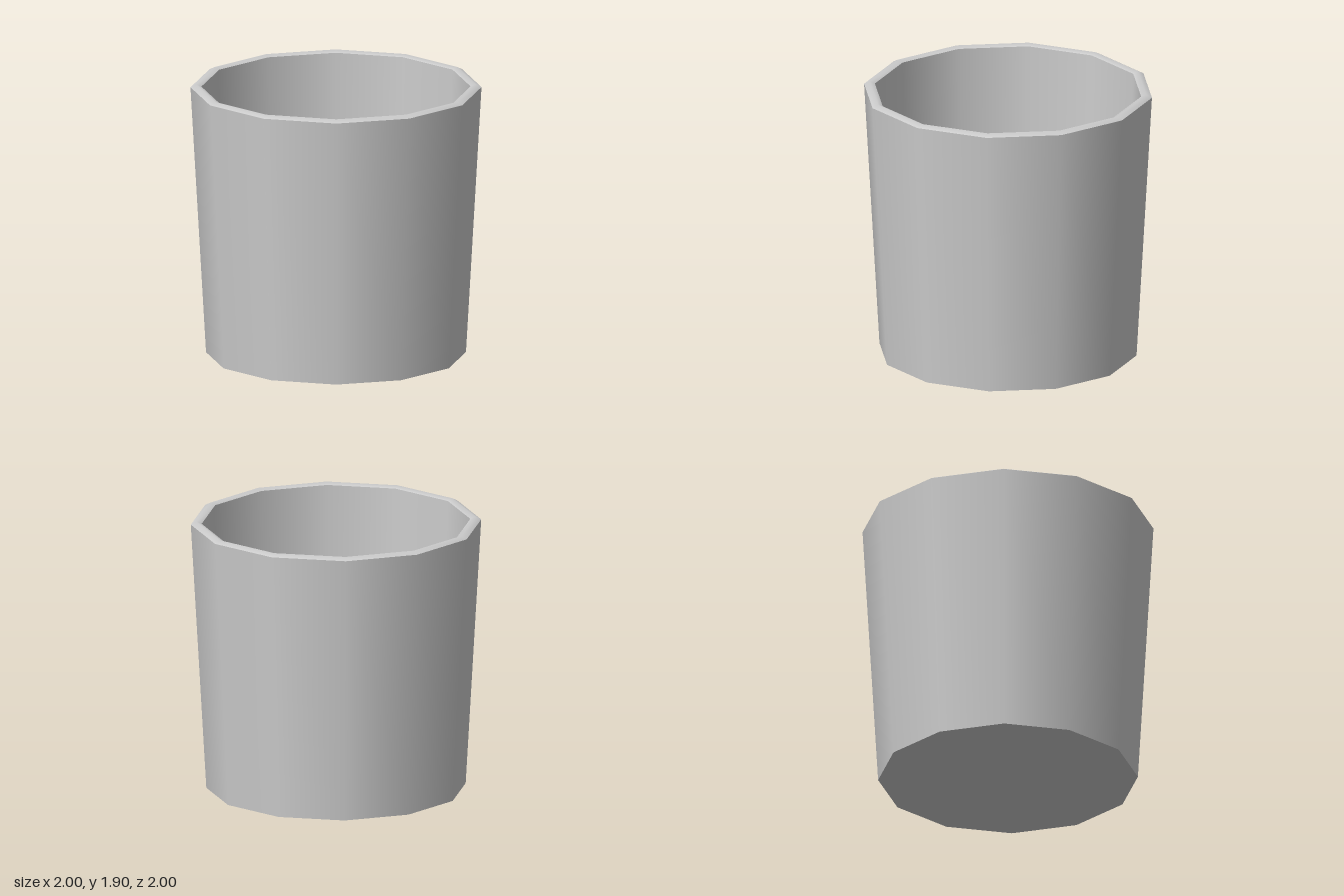
import * as THREE from 'three';

const SIDES = 12;

export function createModel() {
  const group = new THREE.Group();
  group.name = 'cup';
  const material = new THREE.MeshStandardMaterial({ color: 0xcccccc });

  // Each part is its own ring, so normals are smooth around it and sharp between parts.
  const addRing = (name, profile) => {
    const points = profile.map(([r, y]) => new THREE.Vector2(r, y));
    const mesh = new THREE.Mesh(new THREE.LatheGeometry(points, SIDES), material);
    mesh.name = name;
    group.add(mesh);
  };

  // Profiles run from the base centre, up the outside, over the lip and down the inside.
  addRing('base', [[0, 0], [0.893, 0]]);
  addRing('outerWall', [[0.893, 0], [1, 1.88]]);
  addRing('rim', [[1, 1.88], [0.96, 1.9], [0.925, 1.885]]);
  addRing('innerWall', [[0.925, 1.885], [0.875, 0.1]]);
  addRing('floor', [[0.875, 0.1], [0, 0.1]]);

  return group;
}
